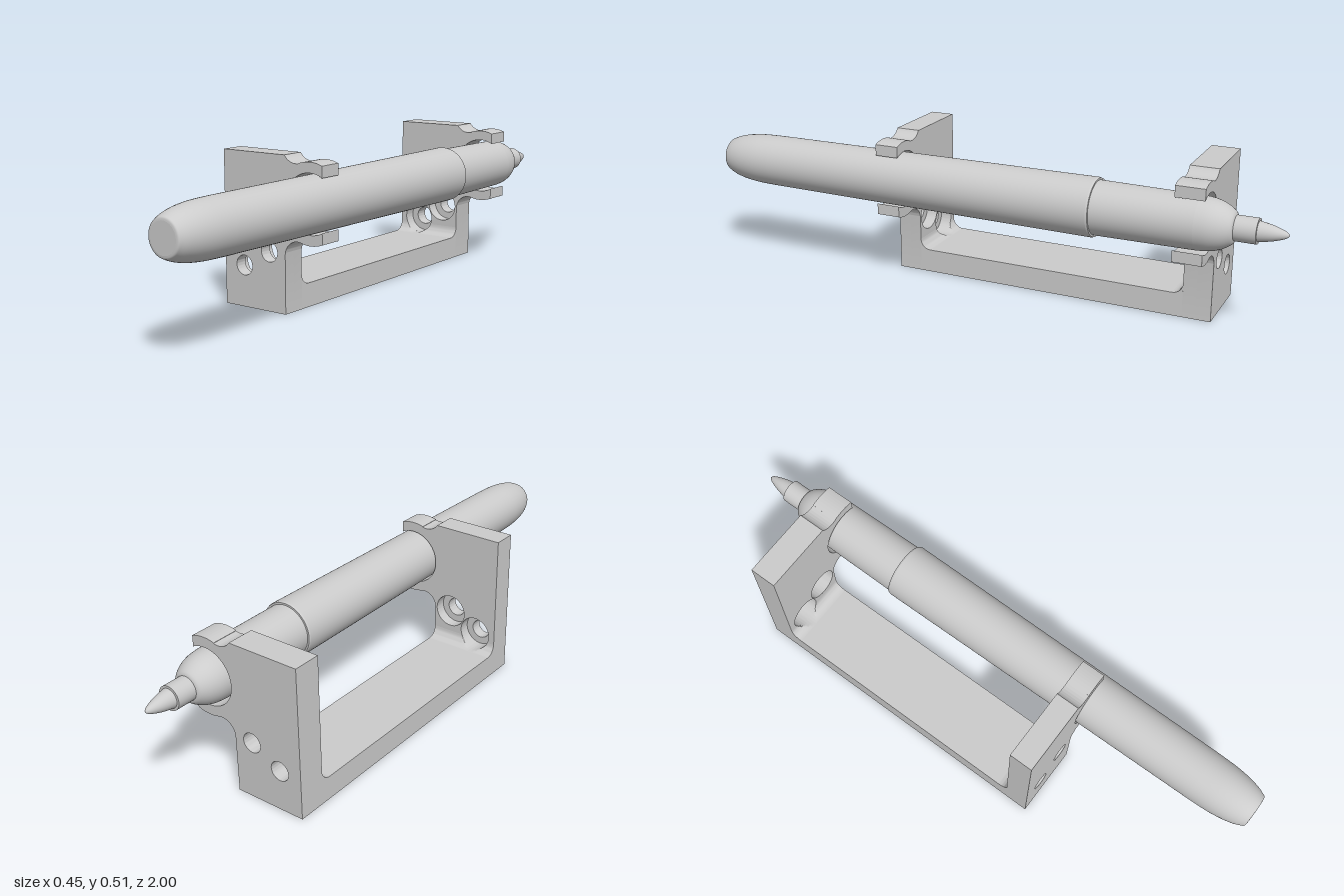
import * as THREE from 'three';
import { toCreasedNormals } from 'three/addons/utils/BufferGeometryUtils.js';

const material = new THREE.MeshStandardMaterial({ color: 0xcccccc });
const doubleSided = new THREE.MeshStandardMaterial({ color: 0xcccccc, side: THREE.DoubleSide });

const PEN_X = 0.125, PEN_Y = 0.365;
const X0 = -0.225, X1 = 0.025, BASE_TOP = 0.08;
const HOLES = [[-0.145, 0.138], [-0.04, 0.195]];
const HOLE_R = 0.033, BORE_R = 0.058, FILLET_R = 0.036;

function addMesh(parent, name, geometry, mat = material) {
  const mesh = new THREE.Mesh(geometry, mat);
  mesh.name = name;
  parent.add(mesh);
  return mesh;
}

// Outline of an end plate with its open clip, pierced by holes of a given radius
function plateShape(holeRadius) {
  const s = new THREE.Shape();
  const tip = 0.172, outer = 0.131, pocket = 0.097;
  const outA = Math.acos((tip - PEN_X) / outer);
  const inA = Math.acos((tip - PEN_X) / pocket);
  s.moveTo(X0, 0);
  s.lineTo(X1, 0);
  s.lineTo(X1, 0.191);
  s.absarc(0.075, 0.191, 0.05, Math.PI, Math.atan2(0.174, 0.05) * 1 - 0.0, true);
  s.absarc(PEN_X, PEN_Y, outer, Math.atan2(-0.174, -0.05), -outA, false);
  s.absarc(PEN_X, PEN_Y, pocket, -inA, inA - Math.PI * 2, true);
  s.absarc(PEN_X, PEN_Y, outer, outA, Math.atan2(0.175, -0.055), false);
  s.absarc(0.07, 0.54, 0.054, Math.atan2(-0.175, 0.055), Math.atan2(-0.03, -0.045), true);
  s.lineTo(X0, 0.51);
  s.closePath();
  for (const [x, y] of HOLES) {
    const hole = new THREE.Path();
    hole.absarc(x, y, holeRadius, 0, Math.PI * 2, true);
    s.holes.push(hole);
  }
  return s;
}

function plateLayer(holeRadius, zMin, zMax) {
  const g = new THREE.ExtrudeGeometry(plateShape(holeRadius), {
    depth: zMax - zMin, bevelEnabled: false, curveSegments: 32,
  });
  g.translate(0, 0, zMin);
  return toCreasedNormals(g, 0.5);
}

// Inside corner fillet, scooped out where the counterbores pass through it
function filletGeometry(zWall, dir) {
  const nx = 80, nz = 10;
  const g = new THREE.PlaneGeometry(1, 1, nx, nz);
  const p = g.attributes.position;
  for (let j = 0; j <= nz; j++) {
    const a = (j / nz) * Math.PI / 2;
    const z = zWall + dir * FILLET_R * (1 - Math.cos(a));
    const arcY = BASE_TOP + FILLET_R * (1 - Math.sin(a));
    for (let i = 0; i <= nx; i++) {
      // The first and last columns drop to the base and close the ends
      const t = Math.min(Math.max((i - 1) / (nx - 2), 0), 1);
      const x = X0 + (X1 - X0) * t;
      let y = arcY;
      for (const [hx, hy] of HOLES) {
        const d = Math.abs(x - hx);
        if (d < BORE_R) y = Math.min(y, hy - Math.sqrt(BORE_R ** 2 - d ** 2));
      }
      if (i === 0 || i === nx) y = BASE_TOP;
      p.setXYZ(j * (nx + 1) + i, x, Math.max(y, BASE_TOP), z);
    }
  }
  return toCreasedNormals(g, 0.5);
}

// Turned section: points are [radius, z], ordered from back to front
function turned(points) {
  const g = new THREE.LatheGeometry(points.map(([r, z]) => new THREE.Vector2(r, z)), 64);
  g.rotateX(Math.PI / 2);
  return g;
}

// Smooth curve through a few profile points
function smooth(points, n = 20) {
  const curve = new THREE.SplineCurve(points.map(([r, z]) => new THREE.Vector2(r, z)));
  return curve.getPoints(n).map((v) => [Math.max(v.x, 0), v.y]);
}

export function createModel() {
  const model = new THREE.Group();
  model.name = 'penHolder';

  // Bracket: base bar, two end plates counterbored on their inner faces
  const bracket = new THREE.Group();
  bracket.name = 'bracket';
  model.add(bracket);
  const zFront = 0.293, zBack = -0.66;
  const base = new THREE.BoxGeometry(X1 - X0, BASE_TOP, zFront - zBack);
  base.translate((X0 + X1) / 2, BASE_TOP / 2, (zFront + zBack) / 2);
  addMesh(bracket, 'base', base);
  addMesh(bracket, 'frontPlateOuter', plateLayer(HOLE_R, 0.333, 0.375));
  addMesh(bracket, 'frontPlateInner', plateLayer(BORE_R, zFront, 0.333));
  addMesh(bracket, 'backPlateOuter', plateLayer(HOLE_R, -0.755, -0.705));
  addMesh(bracket, 'backPlateInner', plateLayer(BORE_R, -0.705, zBack));
  addMesh(bracket, 'frontFillet', filletGeometry(zFront, -1), doubleSided);
  addMesh(bracket, 'backFillet', filletGeometry(zBack, 1), doubleSided);

  // Pen held in the clips
  const pen = new THREE.Group();
  pen.name = 'pen';
  pen.position.set(PEN_X, PEN_Y, 0);
  model.add(pen);
  addMesh(pen, 'nib', turned(smooth([[0, -1], [0.011, -0.988], [0.024, -0.95], [0.032, -0.908]])));
  addMesh(pen, 'collarFace', turned([[0, -0.908], [0.04, -0.908]]));
  addMesh(pen, 'collar', turned([[0.04, -0.908], [0.04, -0.83]]));
  addMesh(pen, 'shoulder', turned(smooth(
    [[0.038, -0.84], [0.052, -0.833], [0.07, -0.805], [0.081, -0.77], [0.085, -0.73]])));
  addMesh(pen, 'grip', turned([[0.085, -0.73], [0.088, -0.395]]));
  addMesh(pen, 'barrelStep', turned([[0.086, -0.4], [0.094, -0.4]]));
  addMesh(pen, 'barrelEdge', turned([[0.094, -0.4], [0.096, -0.394]]));
  addMesh(pen, 'barrel', turned([[0.096, -0.394], [0.088, 0.8]]));
  addMesh(pen, 'barrelEnd', turned(smooth(
    [[0.088, 0.8], [0.086, 0.87], [0.08, 0.925], [0.071, 0.965], [0.061, 0.99], [0.056, 0.998], [0.048, 1]], 32)));
  addMesh(pen, 'endCap', turned([[0.048, 1], [0, 1]]));

  return model;
}
